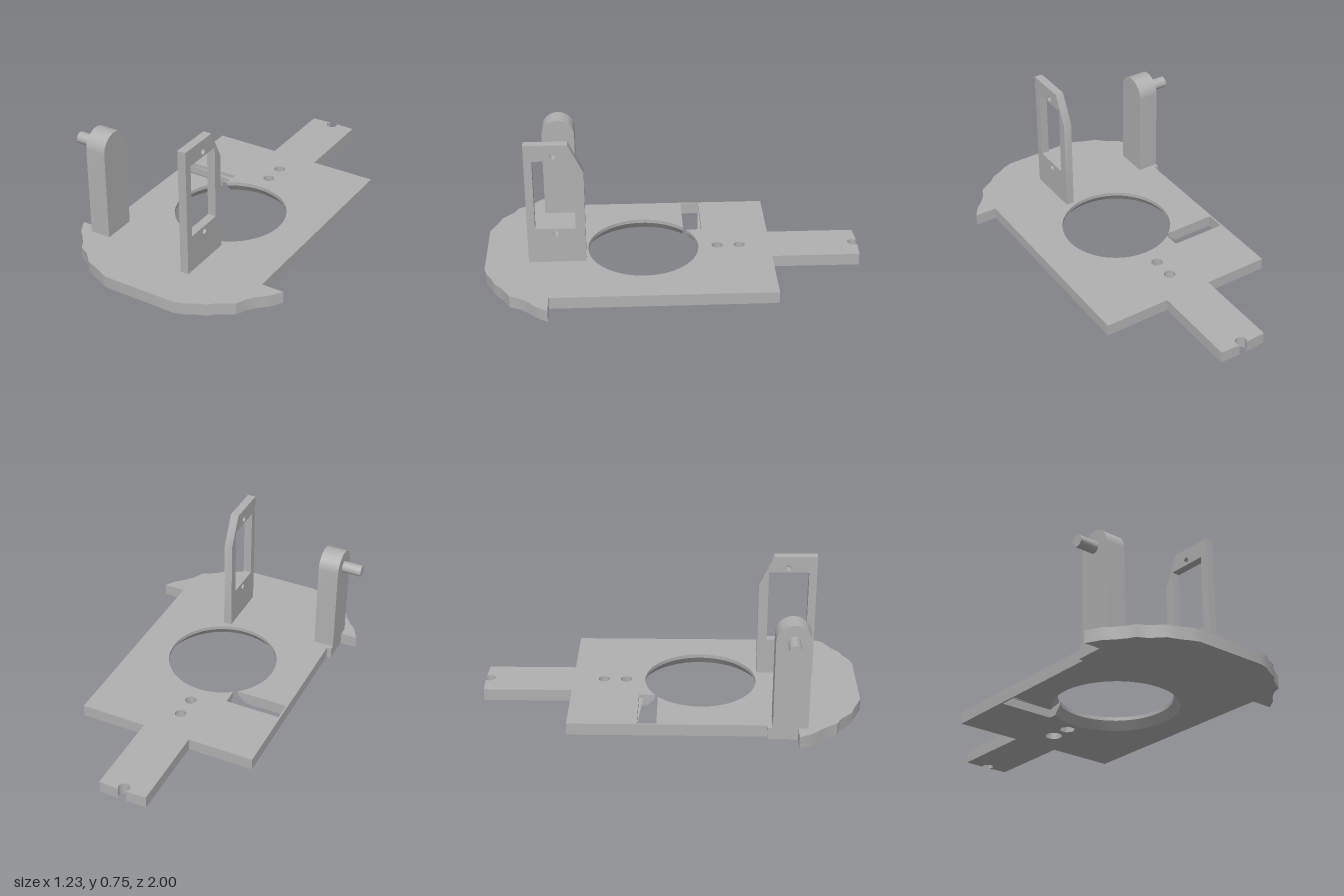
import * as THREE from 'three';
import { toCreasedNormals } from 'three/addons/utils/BufferGeometryUtils.js';

const LIP = 0.02, PLATE = 0.065;      // lip of the opening, plate thickness
const R_TOP = 0.297, R_BOTTOM = 0.33; // opening radius at lip and underside
const V = (x, y) => new THREE.Vector2(x, y);

// Closed ring of points, n sides
function ring(x, y, r, n = 24) {
  return Array.from({ length: n }, (_, i) => {
    const a = (i / n) * Math.PI * 2;
    return V(x + r * Math.cos(a), y + r * Math.sin(a));
  });
}

// Round opening merged with the side slot; plan coordinates are (x, -z)
function opening(r, n = 64) {
  const start = Math.PI - Math.asin(0.225 / r);
  const end = Math.acos(-0.175 / r) + Math.PI * 2;
  const pts = [];
  for (let i = 0; i <= n; i++) {
    const a = start + ((end - start) * i) / n;
    pts.push(V(r * Math.cos(a), -0.16 + r * Math.sin(a)));
  }
  pts.push(V(-0.175, 0.165), V(-0.475, 0.165), V(-0.475, 0.065));
  return pts;
}

// Plate outline: scalloped front, square body, notched tail
function plateOutline() {
  const pts = [
    [-0.6, 0.655], [-0.56, 0.73], [-0.52, 0.77], [-0.48, 0.82], [-0.46, 0.855], [-0.41, 0.88],
    [-0.35, 0.94], [-0.28, 0.965], [-0.24, 0.985], [-0.2, 1],
    [0.2, 1], [0.25, 0.985], [0.29, 0.96], [0.35, 0.935], [0.38, 0.905], [0.42, 0.88],
    [0.465, 0.855], [0.49, 0.8], [0.53, 0.75], [0.565, 0.72], [0.58, 0.7], [0.61, 0.655],
    [0.49, 0.655], [0.49, -0.525], [0.13, -0.525], [0.13, -0.995],
  ].map(([x, z]) => V(x, -z));
  for (let i = 0; i <= 16; i++) { // round notch in the tail end
    const a = THREE.MathUtils.lerp(0.75, -Math.PI - 0.75, i / 16);
    pts.push(V(0.03 * Math.cos(a), 0.98 + 0.03 * Math.sin(a)));
  }
  return pts.concat([
    [-0.13, -0.995], [-0.13, -0.525], [-0.485, -0.525], [-0.485, 0.5], [-0.51, 0.5], [-0.51, 0.655],
  ].map(([x, z]) => V(x, -z)));
}

function extrude(outline, holes, depth) {
  const shape = new THREE.Shape(outline);
  shape.holes = holes.map((h) => new THREE.Path(h));
  return new THREE.ExtrudeGeometry(shape, { depth, bevelEnabled: false });
}

export function createModel() {
  const group = new THREE.Group();
  const grey = new THREE.MeshStandardMaterial({ color: 0xb0b0b0 });
  grey.name = 'grey';
  const add = (name, geometry) => {
    const mesh = new THREE.Mesh(toCreasedNormals(geometry, 0.5), grey);
    mesh.name = name;
    group.add(mesh);
    return mesh;
  };

  // Upper layer of the plate with the narrow lip and screw holes
  const upper = extrude(plateOutline(),
    [opening(R_TOP), ring(0, 0.24, 0.03), ring(0, 0.36, 0.03)], LIP);
  upper.rotateX(-Math.PI / 2).translate(0, PLATE - LIP, 0);
  add('plateTop', upper);

  // Lower layer: opening flares downward, screw holes are counterbored
  const lower = extrude(plateOutline(),
    [opening(R_BOTTOM), ring(0, 0.24, 0.042, 6), ring(0, 0.36, 0.045)], PLATE - LIP);
  const wide = opening(R_BOTTOM), narrow = opening(R_TOP);
  const p = lower.attributes.position;
  for (let i = 0; i < p.count; i++) {
    if (p.getZ(i) < 0.01) continue;
    const k = wide.findIndex((w) => Math.hypot(w.x - p.getX(i), w.y - p.getY(i)) < 1e-4);
    if (k >= 0) p.setXY(i, narrow[k].x, narrow[k].y);
  }
  lower.rotateX(-Math.PI / 2);
  add('plateBottom', lower);

  // Upright profiles are drawn as (-z, y) and extruded along +x
  const upright = (name, outline, holes, x, width) => {
    const g = extrude(outline, holes, width);
    g.rotateY(Math.PI / 2).translate(x, 0, 0);
    return add(name, g);
  };

  // Bracket with window, clipped corner and two screw holes
  upright('bracket',
    [V(-0.77, 0.05), V(-0.465, 0.05), V(-0.465, 0.59), V(-0.543, 0.75), V(-0.77, 0.75)],
    [
      [V(-0.728, 0.265), V(-0.516, 0.265), V(-0.516, 0.66), V(-0.728, 0.66)],
      ring(-0.618, 0.687, 0.016, 16),
      ring(-0.618, 0.235, 0.016, 16),
    ], 0.09, 0.045);

  // Round-topped post
  const arch = [V(-0.705, 0.05), V(-0.525, 0.05)];
  for (let i = 0; i <= 24; i++) {
    const a = (i / 24) * Math.PI;
    arch.push(V(-0.615 + 0.09 * Math.cos(a), 0.55 + 0.09 * Math.sin(a)));
  }
  upright('post', arch, [], -0.51, 0.112);

  // Pivot peg on the outer side of the post
  const peg = new THREE.CylinderGeometry(0.031, 0.031, 0.115, 32);
  peg.rotateZ(Math.PI / 2).translate(-0.5575, 0.55, 0.615);
  add('peg', peg);

  return group;
}
